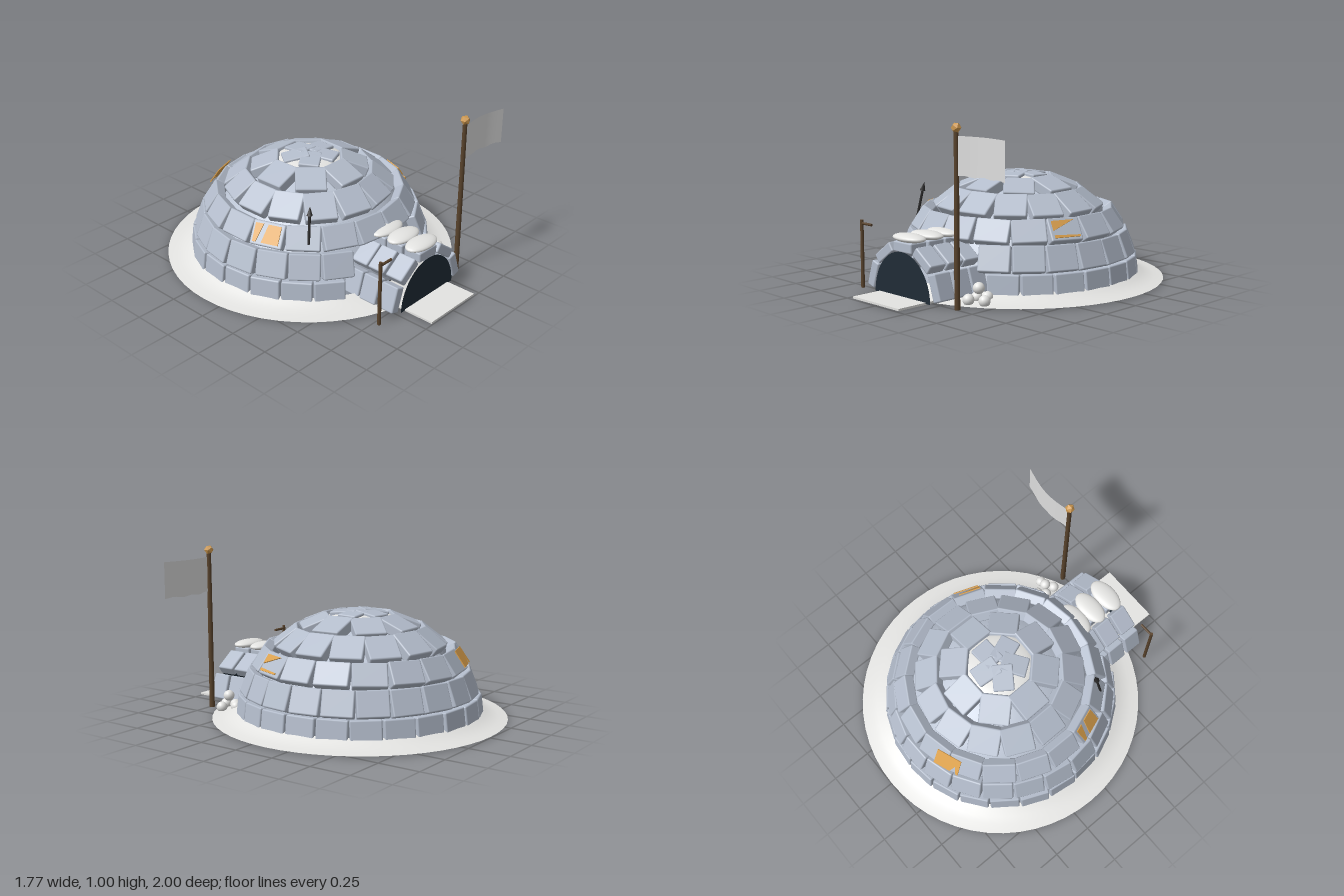
import * as THREE from 'three';
import { RoundedBoxGeometry } from 'three/addons/geometries/RoundedBoxGeometry.js';

const mat = (name, color, side = THREE.FrontSide) => {
  const m = new THREE.MeshStandardMaterial({ color, side });
  m.name = name;
  return m;
};

export function createModel() {
  const model = new THREE.Group();
  model.name = 'igloo';
  const ice = mat('ice block', 0xb4bdcc);
  const lining = mat('ice lining', 0xbcc5d4, THREE.DoubleSide);
  const snow = mat('snow', 0xe4e4e2, THREE.DoubleSide);
  const cloth = mat('flag cloth', 0xdedede, THREE.DoubleSide);
  const wood = mat('wood', 0x59432c);
  const iron = mat('dark iron', 0x2b2a2a);
  const gold = mat('gold', 0xd09a50);
  const amber = mat('amber patch', 0xdda24e);
  const dark = mat('doorway dark', 0x202c36, THREE.DoubleSide);
  gold.flatShading = true;

  let seed = 7;
  const jitter = (s) => {
    seed = (seed * 16807) % 2147483647;
    return (seed / 2147483647 - 0.5) * 2 * s;
  };
  const add = (parent, name, geo, material, x = 0, y = 0, z = 0) => {
    const m = new THREE.Mesh(geo, material);
    m.name = name;
    m.position.set(x, y, z);
    parent.add(m);
    return m;
  };
  const block = (w, h, d) => new RoundedBoxGeometry(w, h, d, 1, 0.009);

  // Dome, centred behind the entrance
  const dome = new THREE.Group();
  dome.name = 'dome';
  dome.position.z = -0.115;
  model.add(dome);

  // Snow skirt around the base, open underneath
  const skirt = [[0.885, 0.006], [0.83, 0.013], [0.79, 0.023], [0.755, 0.036], [0.715, 0.056]]
    .map(([r, y]) => new THREE.Vector2(r, y));
  add(dome, 'snowSkirt', new THREE.LatheGeometry(skirt, 56), snow);

  // Smooth inner lining
  const shell = new THREE.SphereGeometry(0.645, 48, 16, 0, Math.PI * 2, 0, Math.PI / 2);
  shell.scale(1, 0.555 / 0.645, 1);
  add(dome, 'innerLining', shell, lining);

  // Courses: count, start angle in steps, outer face bottom and top (radius, height)
  const courses = [
    [24, 0.5, 0.735, 0.015, 0.718, 0.155],
    [22, 0, 0.71, 0.165, 0.655, 0.308],
    [18, 0.5, 0.645, 0.322, 0.565, 0.442],
    [14, 0.5, 0.515, 0.45, 0.375, 0.556],
    [8, 0, 0.357, 0.56, 0.19, 0.626],
  ];
  const tiltOf = ([, , r0, y0, r1, y1]) => -Math.atan2(r0 - r1, y1 - y0);
  // Puts a part on the outer face of a course; sink is the depth of its centre
  const place = (name, geo, material, course, angle, sink) => {
    const [, , r0, y0, r1, y1] = course;
    const holder = new THREE.Group();
    holder.name = name + 'Holder';
    holder.rotation.y = angle;
    dome.add(holder);
    const m = add(holder, name, geo, material, 0, (y0 + y1) / 2, (r0 + r1) / 2);
    m.rotation.x = tiltOf(course);
    m.translateZ(-sink);
    return m;
  };
  courses.forEach((course, row) => {
    const [n, start, r0, y0, r1, y1] = course;
    const height = Math.hypot(r1 - r0, y1 - y0);
    const width = Math.PI * (r0 + r1) / n * (row === 4 ? 0.86 : 0.94);
    const geo = block(width, height, 0.065);
    for (let i = 0; i < n; i++) {
      const a = (i + start) / n * Math.PI * 2;
      // The two lowest courses leave room for the entrance
      const inDoor = row < 2 && Math.cos(a) > 0 && Math.abs(Math.sin(a) * r0) < 0.36;
      if (inDoor) continue;
      const b = place('domeBlock', geo, ice, course, a, 0.0325 + jitter(0.005));
      b.rotation.y = jitter(0.03);
      b.rotation.z = jitter(0.025);
    }
  });

  // Crown: snow underneath, loose blocks on top
  const crown = new THREE.SphereGeometry(0.21, 24, 8, 0, Math.PI * 2, 0, Math.PI / 2);
  crown.scale(1, 0.19, 1);
  add(dome, 'crownSnow', crown, snow, 0, 0.59, 0);
  const crownBlock = block(0.125, 0.035, 0.16);
  for (let i = 0; i < 5; i++) {
    const a = i / 5 * Math.PI * 2 + 0.5;
    const b = add(dome, 'crownBlock', crownBlock, ice, Math.sin(a) * 0.09, 0.622, Math.cos(a) * 0.09);
    b.rotation.set(0.12 + jitter(0.05), a + jitter(0.2), jitter(0.06), 'YXZ');
  }

  // Amber patches on the third course
  const patch = (degrees, lift, polygons) => polygons.forEach((pts) => {
    const shape = new THREE.Shape(pts.map(([x, y]) => new THREE.Vector2(x, y)));
    const geo = new THREE.ExtrudeGeometry(shape, { depth: 0.006, bevelEnabled: false });
    place('amberPatch', geo, amber, courses[2], THREE.MathUtils.degToRad(degrees), -lift);
  });
  patch(70, 0.003, [
    [[-0.08, -0.01], [0.06, 0.05], [-0.08, 0.05]],
    [[-0.08, -0.055], [0.08, -0.055], [0.08, -0.045], [-0.08, -0.038]],
  ]);
  patch(-70, 0.003, [
    [[-0.025, -0.055], [0.08, -0.055], [0.08, 0.055], [0.0, 0.055]],
    [[-0.08, -0.055], [-0.06, -0.055], [-0.03, 0.055], [-0.08, 0.055]],
  ]);
  patch(-160, 0.01, [
    [[-0.08, -0.055], [0.03, -0.055], [0.055, 0.0], [0.07, -0.055], [0.085, -0.055], [0.08, 0.055], [-0.08, 0.055]],
  ]);

  // Entrance: three arches of five blocks, each topped by a snow pad
  const entrance = new THREE.Group();
  entrance.name = 'entrance';
  model.add(entrance);
  const archBlock = block(0.06, 0.155, 0.115);
  const pad = new THREE.SphereGeometry(1, 24, 12);
  pad.scale(0.12, 0.025, 0.068);
  for (const z of [0.75, 0.62, 0.497]) {
    for (let i = 0; i < 5; i++) {
      const a = (i + 0.5) / 5 * Math.PI;
      const b = add(entrance, 'archBlock', archBlock, ice, Math.cos(a) * 0.275, 0.02 + Math.sin(a) * 0.275, z);
      b.rotation.z = a;
    }
    add(entrance, 'snowPad', pad, snow, 0, 0.343, z + 0.003);
  }
  const opening = new THREE.CircleGeometry(0.235, 32, 0, Math.PI);
  opening.scale(1, 1.1, 1);
  add(entrance, 'darkDoorway', opening, dark, 0, 0.012, 0.81);
  add(entrance, 'doorstep', new THREE.BoxGeometry(0.395, 0.012, 0.25), snow, 0, 0.013, 0.875);

  // Flag on its pole
  add(model, 'flagPole', new THREE.CylinderGeometry(0.013, 0.016, 0.96, 8), wood, 0.375, 0.48, 0.74);
  add(model, 'poleFinial', new THREE.IcosahedronGeometry(0.029, 0), gold, 0.375, 0.977, 0.74);
  const flag = new THREE.PlaneGeometry(0.355, 0.21, 14, 2);
  const p = flag.attributes.position;
  for (let i = 0; i < p.count; i++) {
    const t = p.getX(i) / 0.355 + 0.5;
    p.setZ(i, -0.025 * Math.sin(t * Math.PI * 1.1));
    if (p.getY(i) < -0.1) p.setY(i, -0.107 + 0.004 * Math.sin(t * 17));
  }
  flag.computeVertexNormals();
  add(model, 'flag', flag, cloth, 0.567, 0.83, 0.742);

  // Small post with a side arm
  add(model, 'lampPost', new THREE.CylinderGeometry(0.01, 0.011, 0.4, 8), wood, -0.39, 0.2, 0.78);
  const arm = add(model, 'lampPostArm', new THREE.CylinderGeometry(0.008, 0.008, 0.09, 8), wood, -0.345, 0.38, 0.78);
  arm.rotation.z = Math.PI / 2;

  // Spear leaning on the dome
  const spear = new THREE.Group();
  spear.name = 'spear';
  spear.position.set(-0.452, 0.36, 0.305);
  spear.rotation.set(-0.12, 0, -0.18);
  add(spear, 'spearShaft', new THREE.CylinderGeometry(0.008, 0.008, 0.18, 6), iron, 0, 0.08, 0);
  add(spear, 'spearTip', new THREE.ConeGeometry(0.018, 0.055, 6), iron, 0, 0.187, 0);
  model.add(spear);

  // Pile of snowballs
  const ball = new THREE.SphereGeometry(0.033, 16, 12);
  [[0.39, 0.035, 0.53], [0.355, 0.033, 0.64], [0.44, 0.033, 0.6], [0.385, 0.095, 0.59], [0.35, 0.035, 0.57]]
    .forEach(([x, y, z]) => add(model, 'snowball', ball, snow, x, y, z));

  return model;
}
